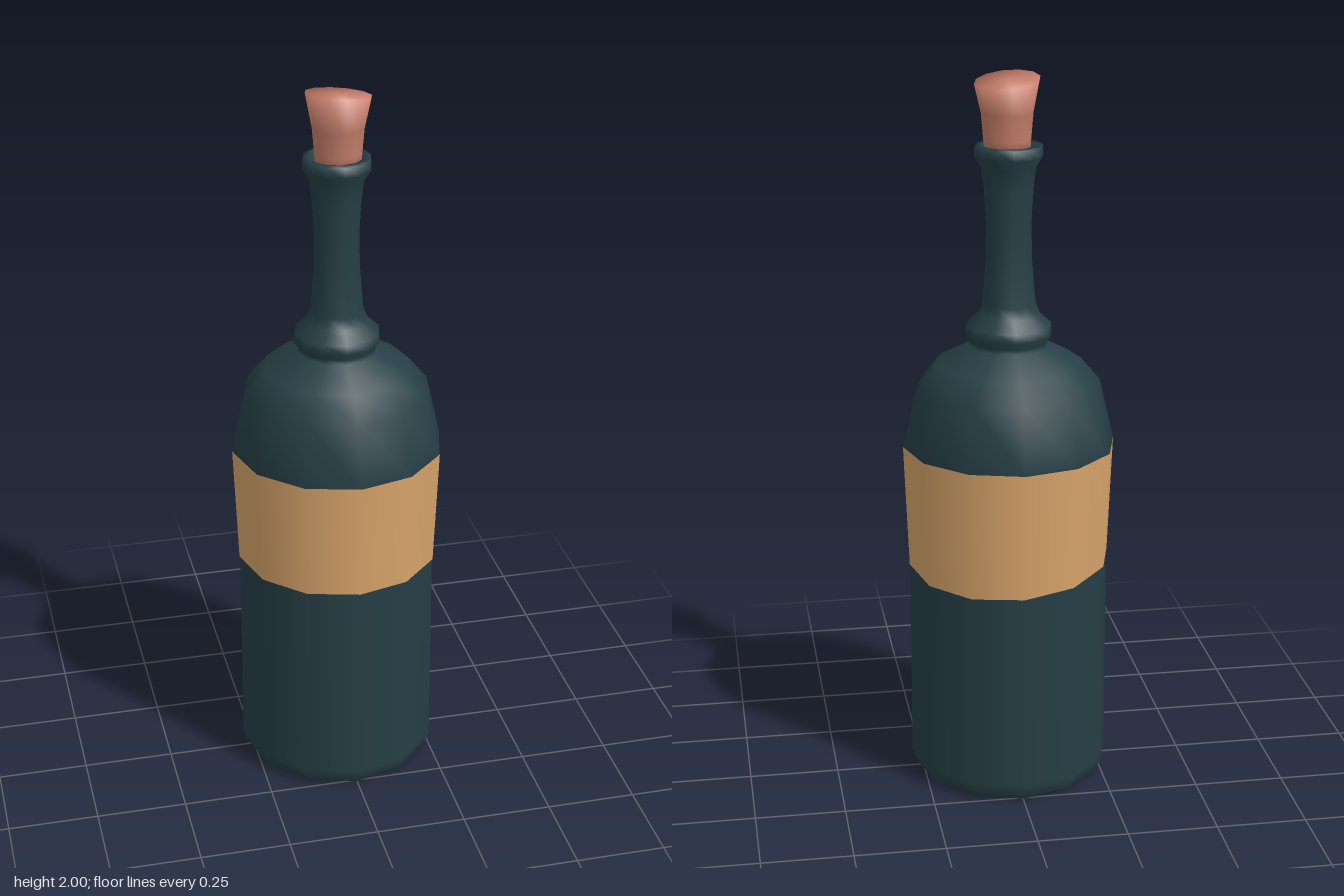
import * as THREE from 'three';

const SIDES = 12;
const mat = (name, color) => {
  const m = new THREE.MeshStandardMaterial({ color });
  m.name = name;
  return m;
};

// Smooth turned shape from [radius, height] pairs, listed bottom to top
function turned(name, profile, material) {
  const points = profile.map(([r, y]) => new THREE.Vector2(r, y));
  const mesh = new THREE.Mesh(new THREE.LatheGeometry(points, SIDES), material);
  mesh.name = name;
  return mesh;
}

// Move each vertex by a rule
function reshape(mesh, rule) {
  const pos = mesh.geometry.attributes.position;
  const v = new THREE.Vector3();
  for (let i = 0; i < pos.count; i++) {
    rule(v.fromBufferAttribute(pos, i));
    pos.setXYZ(i, v.x, v.y, v.z);
  }
  return mesh;
}

export function createModel() {
  const glass = mat('dark teal glass', 0x263f46);
  const paper = mat('tan paper', 0xd9a56c);
  const corkMat = mat('reddish cork', 0xc67f6b);
  const group = new THREE.Group();
  group.name = 'bottle';

  // Glass: hollow base, body, domed shoulder, collar, neck and lip
  group.add(turned('glassBody', [
    [0, 0.06], [0.14, 0.045], [0.21, 0.008], [0.255, 0.003], [0.268, 0.015], [0.282, 0.055],
    [0.28, 0.64], [0.295, 0.98], [0.255, 1.15], [0.2, 1.215], [0.11, 1.262],
    [0.108, 1.275], [0.12, 1.295], [0.117, 1.32], [0.085, 1.35], [0.074, 1.38],
    [0.064, 1.5], [0.062, 1.6], [0.068, 1.7], [0.075, 1.755], [0.094, 1.785],
    [0.092, 1.813], [0.072, 1.815], [0.06, 1.79], [0, 1.785],
  ], glass));

  // Label: thin wrap whose lower edge sags towards the back
  group.add(reshape(turned('label', [[0.282, 0.645], [0.296, 0.98]], paper), (v) => {
    if (v.y < 0.8) {
      const angle = Math.atan2(v.x, v.z);
      v.y -= 0.03 * Math.max(0, Math.cos(angle - Math.PI * 5 / 6));
    }
  }));

  // Cork: flared stopper with a slanted top
  const cork = turned('cork', [
    [0, 1.78], [0.062, 1.785], [0.065, 1.83], [0.071, 1.9], [0.089, 1.986], [0, 1.986],
  ], corkMat);
  reshape(cork, (v) => {
    if (v.y > 1.95) v.y += -0.1 * v.x + 0.12 * v.z;
  });
  cork.position.set(0.003, 0, 0.006);
  group.add(cork);

  return group;
}
